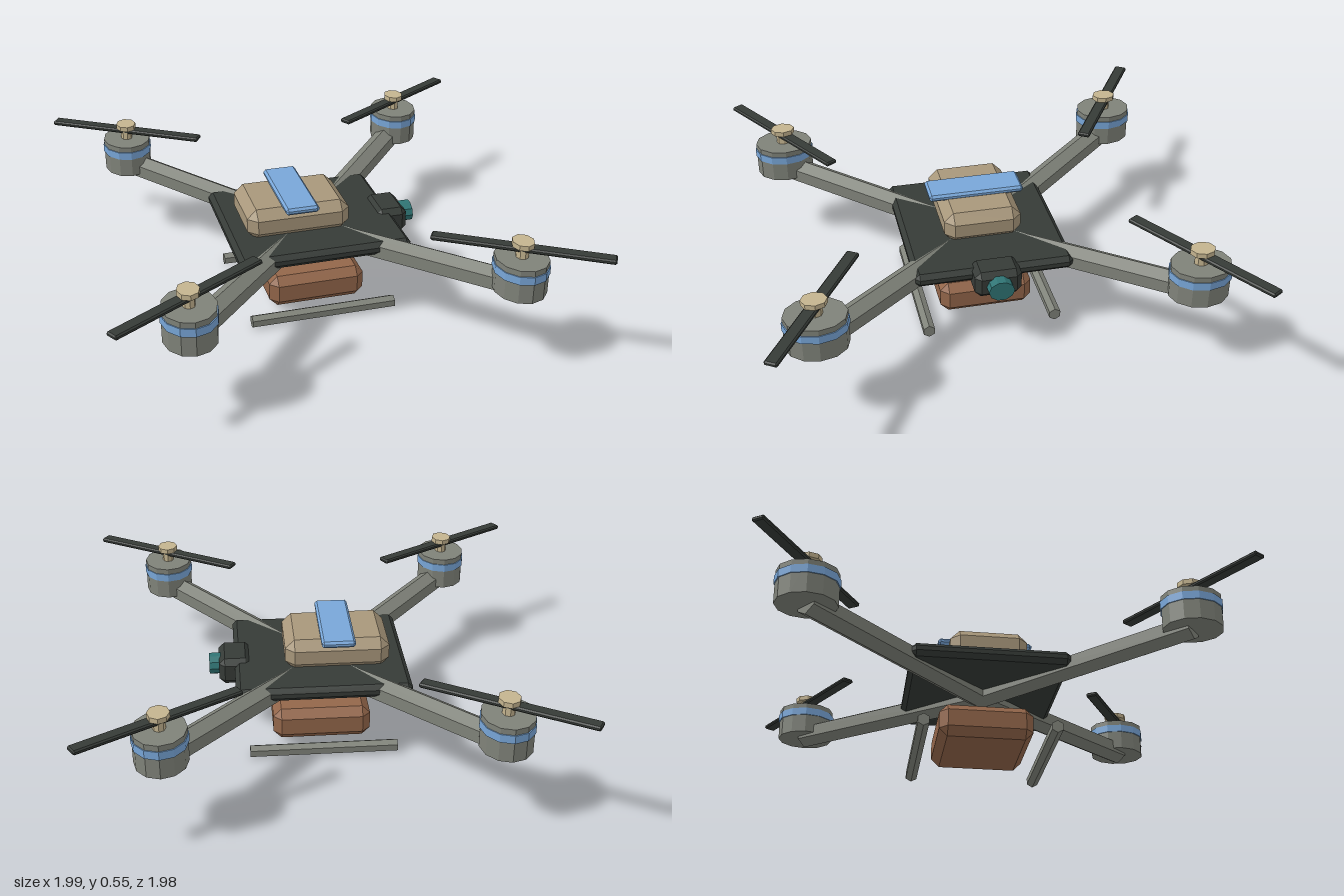
import * as THREE from 'three';
import { ConvexGeometry } from 'three/addons/geometries/ConvexGeometry.js';

const mat = (color) => new THREE.MeshStandardMaterial({ color, flatShading: true });
const DARK = mat(0x363b37), GREY = mat(0x7f8279), TAN = mat(0xa8977b), BLUE = mat(0x78a6d8),
  BROWN = mat(0x93664a), CREAM = mat(0xc4b48f), TEAL = mat(0x2f7474);

function add(parent, name, geometry, material, x = 0, y = 0, z = 0) {
  const m = new THREE.Mesh(geometry, material);
  m.name = name;
  m.position.set(x, y, z);
  parent.add(m);
  return m;
}

// Box with every edge bevelled by c
function bevelBox(w, h, d, c) {
  const pts = [];
  for (const sx of [-1, 1]) for (const sy of [-1, 1]) for (const sz of [-1, 1]) {
    const x = w / 2, y = h / 2, z = d / 2;
    pts.push(new THREE.Vector3(sx * x, sy * (y - c), sz * (z - c)));
    pts.push(new THREE.Vector3(sx * (x - c), sy * y, sz * (z - c)));
    pts.push(new THREE.Vector3(sx * (x - c), sy * (y - c), sz * z));
  }
  return new ConvexGeometry(pts);
}

// Hexagonal bar between two points, one ridge on top
function hexBar(parent, name, a, b, r, material) {
  const g = new THREE.CylinderGeometry(r, r, a.distanceTo(b), 6).rotateX(Math.PI / 2);
  const m = add(parent, name, g, material);
  m.position.copy(a).add(b).multiplyScalar(0.5);
  m.lookAt(b);
  return m;
}

export function createModel() {
  const root = new THREE.Group();
  root.name = 'quadcopter';

  // Body
  add(root, 'bodyPlate', bevelBox(0.745, 0.06, 0.68, 0.02), DARK, 0, 0.33, 0);
  add(root, 'battery', bevelBox(0.45, 0.14, 0.335, 0.04), TAN, -0.07, 0.413, 0);
  add(root, 'batteryStrap', bevelBox(0.145, 0.03, 0.415, 0.01), BLUE, -0.07, 0.49, 0);

  // Camera on the +x edge
  add(root, 'cameraHousing', bevelBox(0.14, 0.12, 0.2, 0.025), DARK, 0.37, 0.316, 0);
  const lens = add(root, 'cameraLens',
    new THREE.CylinderGeometry(0.045, 0.045, 0.06, 10).rotateZ(Math.PI / 2), TEAL, 0.452, 0.316, 0);
  lens.scale.z = 1.22;

  // Payload and landing skids
  add(root, 'payload', bevelBox(0.425, 0.145, 0.405, 0.035), BROWN, 0, 0.093, 0);
  for (const s of [-1, 1]) {
    hexBar(root, 'landingSkid', new THREE.Vector3(-0.32, 0.028, s * 0.28),
      new THREE.Vector3(0.32, 0.028, s * 0.28), 0.028, GREY);
  }

  // Arms with motor and rotor at each corner
  for (const sx of [-1, 1]) for (const sz of [-1, 1]) {
    const x = sx * 0.67, z = sz * 0.778;
    hexBar(root, 'arm', new THREE.Vector3(0, 0.295, 0), new THREE.Vector3(x, 0.345, z), 0.056, GREY);

    // Motors are slightly oval, longer along z
    const motor = new THREE.Group();
    motor.name = 'motor';
    motor.position.set(x, 0, z);
    motor.scale.z = 1.18;
    root.add(motor);
    add(motor, 'motorCan', new THREE.CylinderGeometry(0.108, 0.108, 0.147, 12), GREY, 0, 0.402, 0);
    add(motor, 'motorBand', new THREE.CylinderGeometry(0.112, 0.112, 0.035, 12), BLUE, 0, 0.433, 0);
    add(motor, 'shaft', new THREE.CylinderGeometry(0.026, 0.026, 0.06, 8), CREAM, 0, 0.502, 0);
    add(motor, 'hubCap', new THREE.CylinderGeometry(0.045, 0.045, 0.022, 8), CREAM, 0, 0.535, 0);

    const blade = add(root, 'propeller', bevelBox(0.733, 0.02, 0.055, 0.006), DARK, x, 0.514, z);
    blade.rotation.y = -sx * sz * THREE.MathUtils.degToRad(31.5);
  }
  return root;
}
